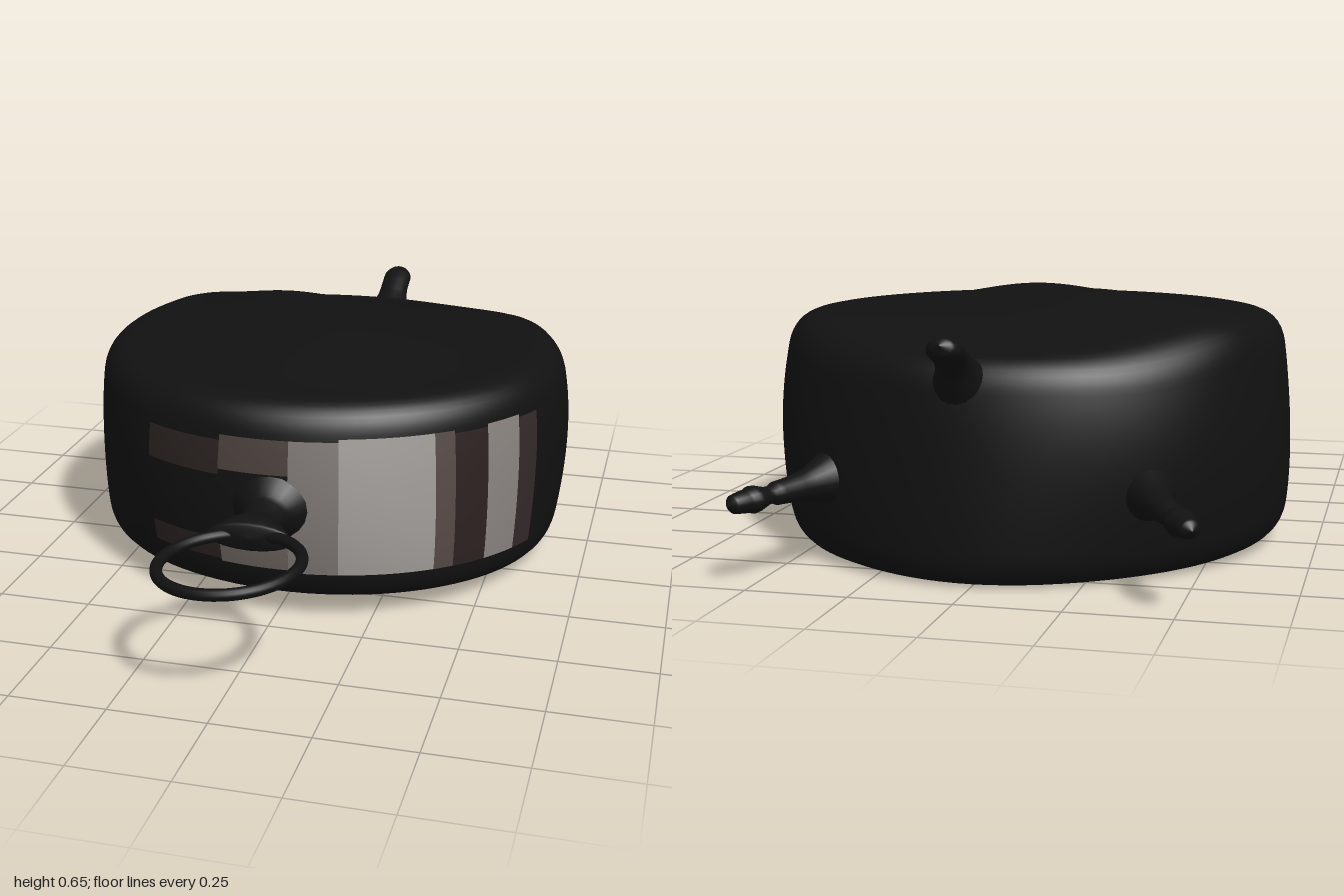
import * as THREE from 'three';
import { mergeVertices } from 'three/addons/utils/BufferGeometryUtils.js';

const dark = new THREE.MeshStandardMaterial({ color: 0x111111 });

// Smooth surface from f(u, v) -> Vector3; outward side is du x dv
function surface(f, nu, nv) {
  const pos = [], idx = [];
  for (let i = 0; i <= nu; i++)
    for (let j = 0; j <= nv; j++) pos.push(...f(i / nu, j / nv).toArray());
  for (let i = 0; i < nu; i++)
    for (let j = 0; j < nv; j++) {
      const a = i * (nv + 1) + j, b = a + nv + 1;
      idx.push(a, b, a + 1, b, b + 1, a + 1);
    }
  let g = new THREE.BufferGeometry();
  g.setAttribute('position', new THREE.Float32BufferAttribute(pos, 3));
  g.setIndex(idx);
  g = mergeVertices(g, 1e-5);
  g.computeVertexNormals();
  return g;
}

// Round section swept along points; radii are [side, up] pairs
function sweep(points, radii) {
  const path = new THREE.CatmullRomCurve3(points.map(p => new THREE.Vector3(...p)));
  const size = new THREE.CatmullRomCurve3(radii.map(r => new THREE.Vector3(r[0], r[1], 0)));
  return surface((u, v) => {
    const t = path.getTangent(u), s = size.getPoint(u), a = v * Math.PI * 2;
    const side = t.clone().cross(new THREE.Vector3(0, 1, 0)).normalize();
    const up = side.clone().cross(t);
    return path.getPoint(u).addScaledVector(side, s.x * Math.cos(a)).addScaledVector(up, s.y * Math.sin(a));
  }, 36, 20);
}

// Half profile of the drum: radius against height, both 0..1
const profile = new THREE.Path();
profile.moveTo(0, 0);
profile.lineTo(0.87, 0);
profile.bezierCurveTo(0.93, 0, 0.97, 0.04, 0.98, 0.16);
profile.bezierCurveTo(1.0, 0.35, 1.005, 0.6, 0.975, 0.83);
profile.bezierCurveTo(0.965, 0.94, 0.92, 1, 0.83, 1);
profile.lineTo(0, 1);

const bump = (x, z, cx, cz, s) => Math.exp(-((x - cx) ** 2 + (z - cz) ** 2) / (2 * s * s));
const topY = (x, z) => 0.6 + 0.055 * bump(x, z, -0.2, -0.33, 0.16) + 0.05 * bump(x, z, 0.05, -0.05, 0.17)
  - 0.05 * THREE.MathUtils.smoothstep(-z, 0.45, 0.8);
const bottomY = z => 0.01 + 0.06 * Math.pow(Math.max(0, z + 0.87) / 1.3, 1.6);

// Point on the slightly lumpy drum; angle 0 faces the front
function drumPoint(angle, v, lift = 0) {
  const p = profile.getPoint(v);
  const back = Math.max(0, -Math.cos(angle)) ** 12;
  const r = p.x * (0.675 + 0.03 * back * (1 - 1.4 * p.y) + 0.006 * Math.sin(3 * angle + 4 * p.y) * p.x) + lift;
  const x = r * Math.sin(angle), z = -0.2 + r * Math.cos(angle);
  return new THREE.Vector3(x, THREE.MathUtils.lerp(bottomY(z), topY(x, z), p.y), z);
}

export function createModel() {
  const model = new THREE.Group();
  const add = (name, geometry, material = dark) => {
    const mesh = new THREE.Mesh(geometry, material);
    mesh.name = name;
    model.add(mesh);
    return mesh;
  };

  // Drum body
  add('body', surface((u, v) => drumPoint(u * Math.PI * 2, v), 96, 100));

  // Worn bright bands on the front wall: start and end in degrees, low, high, colour
  [
    [-32, -12, 0.39, 0.43, 0x2a2220], [-32, -12, 0.55, 0.61, 0x2a2220],
    [-12, 4, 0.385, 0.43, 0x6a625e], [-12, 4, 0.56, 0.62, 0x4a403c],
    [4, 15, 0.38, 0.62, 0x7c7672], [15, 37, 0.38, 0.625, 0xa09c98],
    [37, 42, 0.38, 0.625, 0x554a46], [42, 51, 0.38, 0.62, 0x2c2220],
    [51, 61, 0.38, 0.625, 0x8a8480], [61, 68, 0.38, 0.62, 0x33292a],
  ].forEach(([a0, a1, v0, v1, color], i) => {
    const rad = THREE.MathUtils.degToRad;
    add('wornBand' + (i + 1),
      surface((u, v) => drumPoint(rad(a0 + (a1 - a0) * u), v0 + (v1 - v0) * v, 0.002), 8, 16),
      new THREE.MeshStandardMaterial({ color }));
  });

  // Flared neck that holds the ring
  add('ringNeck', sweep(
    [[0, 0.33, 0.42], [0, 0.33, 0.47], [0, 0.33, 0.52], [0, 0.33, 0.57], [0, 0.33, 0.62], [0, 0.33, 0.655], [0, 0.33, 0.665]],
    [[0.15, 0.14], [0.1, 0.09], [0.06, 0.05], [0.052, 0.04], [0.085, 0.045], [0.11, 0.035], [0.001, 0.001]]));

  // Ring
  const ring = add('ring', new THREE.TorusGeometry(0.172, 0.015, 14, 64));
  ring.rotation.set(Math.PI / 2, 0.065, 0);
  ring.position.set(0, 0.333, 0.813);

  // Two low prongs at the back corners
  const prongSize = [[0.12, 0.12], [0.065, 0.065], [0.037, 0.036], [0.031, 0.028], [0.031, 0.028], [0.024, 0.022], [0.001, 0.001]];
  for (const [name, s] of [['leftProng', 1], ['rightProng', -1]])
    add(name, sweep(
      [[0.36, 0.23, -0.66], [0.395, 0.225, -0.735], [0.43, 0.22, -0.81], [0.47, 0.215, -0.88],
        [0.51, 0.21, -0.95], [0.53, 0.208, -0.985], [0.538, 0.207, -1.0]].map(p => [p[0] * s, p[1], p[2]]),
      prongSize));

  // Upward prong at the back centre
  add('middleProng', sweep(
    [[0.03, 0.44, -0.76], [0.03, 0.49, -0.82], [0.03, 0.53, -0.865], [0.03, 0.555, -0.9],
      [0.03, 0.575, -0.945], [0.03, 0.585, -0.97], [0.03, 0.59, -0.985]],
    [[0.13, 0.1], [0.07, 0.06], [0.046, 0.038], [0.043, 0.03], [0.043, 0.029], [0.03, 0.022], [0.001, 0.001]]));

  return model;
}
